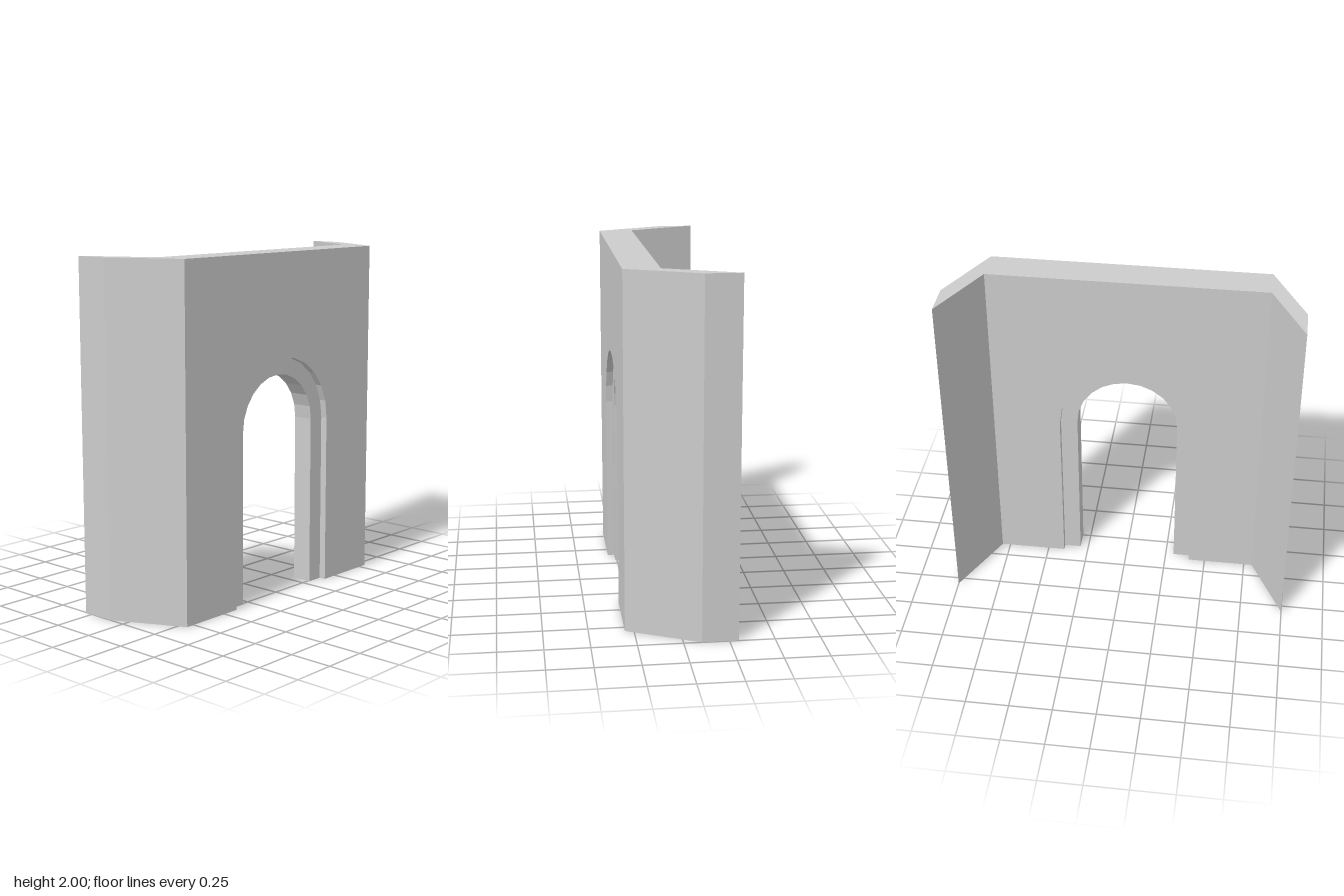
import * as THREE from 'three';

const HEIGHT = 2, HALF = 0.8, SPRING = 1;   // wall height, front half width, arch spring line
const OUTER = 0.4, INNER = 0.3;             // arch radii of wall opening and frame
const ARC = 6;                              // gives 12 facets per half circle

// An upside-down U: outline points from left foot to right foot, then an arched opening
function archedPanel(traceOutside, radius, depth, z) {
  const shape = new THREE.Shape();
  traceOutside(shape);
  shape.lineTo(radius, 0);
  shape.lineTo(radius, SPRING);
  shape.absarc(0, SPRING, radius, 0, Math.PI, false);
  shape.lineTo(-radius, 0);
  shape.closePath();
  const geometry = new THREE.ExtrudeGeometry(shape, { depth, bevelEnabled: false, curveSegments: ARC });
  return geometry.translate(0, 0, z);
}

// Vertical slab from a plan outline of [x, z] points
function slab(plan) {
  const shape = new THREE.Shape(plan.map(([x, z]) => new THREE.Vector2(x, -z)));
  const geometry = new THREE.ExtrudeGeometry(shape, { depth: HEIGHT, bevelEnabled: false });
  return geometry.rotateX(-Math.PI / 2);
}

export function createModel() {
  const group = new THREE.Group();
  group.name = 'archedWall';
  const material = new THREE.MeshStandardMaterial({ color: 0xcccccc, flatShading: true });
  const add = (name, geometry) => {
    const mesh = new THREE.Mesh(geometry, material);
    mesh.name = name;
    group.add(mesh);
  };

  // Front wall with the doorway
  add('frontWall', archedPanel((s) => {
    s.moveTo(-HALF, 0);
    s.lineTo(-HALF, HEIGHT);
    s.lineTo(HALF, HEIGHT);
    s.lineTo(HALF, 0);
  }, OUTER, 0.2, 0.1));

  // Door frame, set back from both wall faces
  add('doorFrame', archedPanel((s) => {
    s.moveTo(-OUTER, 0);
    s.lineTo(-OUTER, SPRING);
    s.absarc(0, SPRING, OUTER, Math.PI, 0, true);
    s.lineTo(OUTER, 0);
  }, INNER, 0.12, 0.14));

  // Angled side walls running backwards
  for (const [name, side] of [['leftWing', 1], ['rightWing', -1]]) {
    add(name, slab([[HALF, 0.3], [1, -0.1], [1, -0.3], [HALF, 0.1]].map(([x, z]) => [x * side, z])));
  }
  return group;
}
